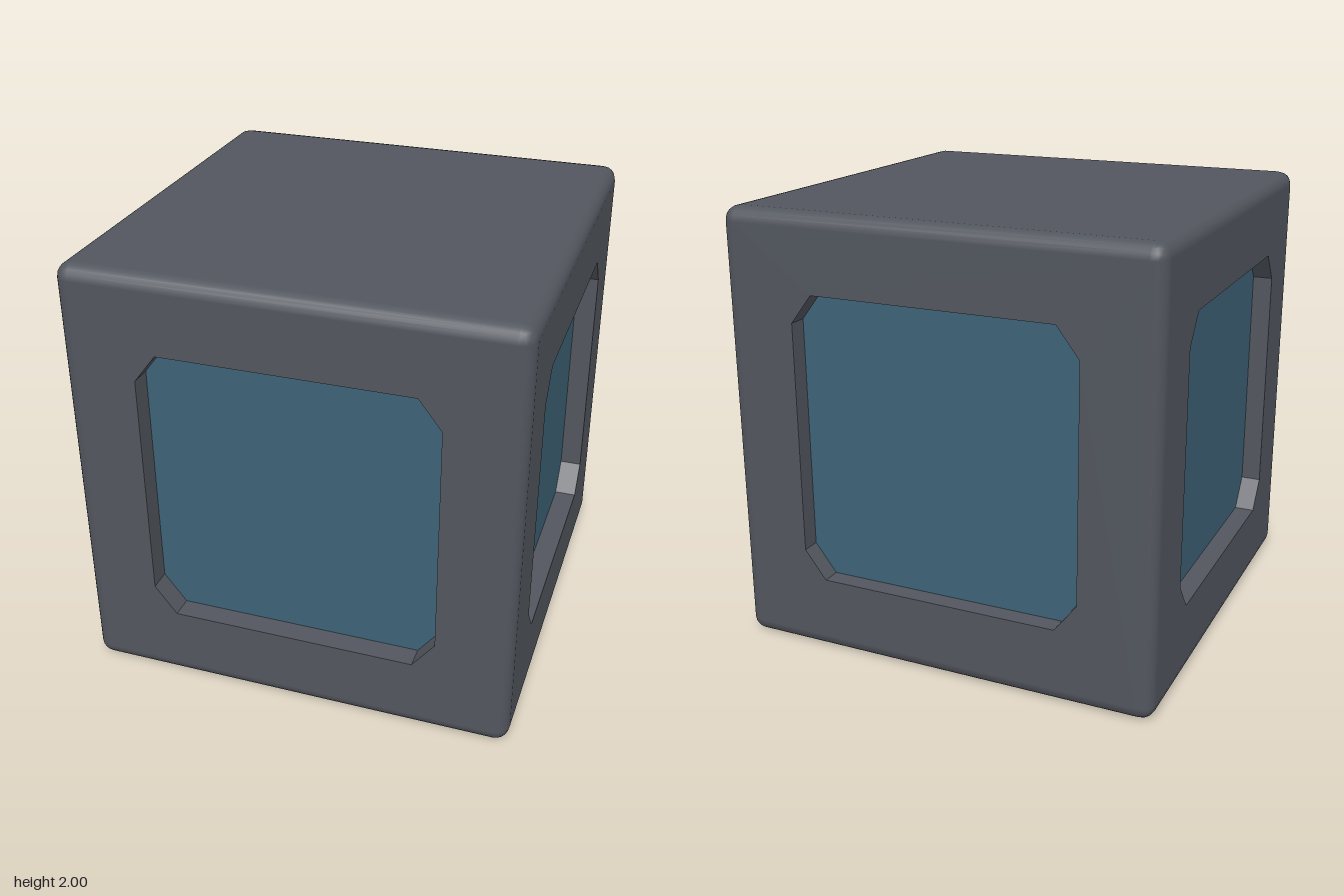
import * as THREE from 'three';
import { RoundedBoxGeometry } from 'three/addons/geometries/RoundedBoxGeometry.js';

const HALF = 0.99, HALF_Y = 1, R = 0.065;

// Octagonal window outline: a square with clipped corners
function outline(type, s, cx, cy) {
  const p = [[s, cy - s], [s, s - cy], [s - cx, s], [cx - s, s], [-s, s - cy], [-s, cy - s], [cx - s, -s], [s - cx, -s]];
  return new type(p.map(([x, y]) => new THREE.Vector2(x, y)));
}

// Rounded box keeping its soft edges and top, with the other flat faces removed
function softEdges() {
  const box = new RoundedBoxGeometry(HALF * 2, HALF_Y * 2, HALF * 2, 2, R);
  const src = box.index ? box.toNonIndexed() : box;
  const pos = src.attributes.position, nor = src.attributes.normal;
  const keptPos = [], keptNor = [];
  const tri = new THREE.Triangle(), n = new THREE.Vector3();
  for (let i = 0; i < pos.count; i += 3) {
    tri.setFromAttributeAndIndices(pos, i, i + 1, i + 2);
    tri.getNormal(n);
    if (tri.getArea() > 1 && n.y < 0.5) continue;
    for (let k = i; k < i + 3; k++) {
      keptPos.push(pos.getX(k), pos.getY(k), pos.getZ(k));
      keptNor.push(nor.getX(k), nor.getY(k), nor.getZ(k));
    }
  }
  const geo = new THREE.BufferGeometry();
  geo.setAttribute('position', new THREE.Float32BufferAttribute(keptPos, 3));
  geo.setAttribute('normal', new THREE.Float32BufferAttribute(keptNor, 3));
  return geo;
}

export function createModel() {
  const casing = new THREE.MeshStandardMaterial({ color: 0x52565e });
  casing.name = 'slateCasing';
  const blue = new THREE.MeshStandardMaterial({ color: 0x3d6276 });
  blue.name = 'bluePanel';

  const model = new THREE.Group();
  model.name = 'panelledCube';

  const body = new THREE.Mesh(softEdges(), casing);
  body.name = 'roundedEdgesAndTop';
  body.position.y = HALF_Y;
  model.add(body);

  // One cube face: a frame with a window and a recessed panel behind it
  function addFace({ name, halfHeight = HALF_Y, distance = HALF, recess, window, rotX = 0, rotY = 0 }) {
    const w = HALF - R, h = halfHeight - R;
    const shape = new THREE.Shape([[-w, -h], [w, -h], [w, h], [-w, h]].map(([x, y]) => new THREE.Vector2(x, y)));
    shape.holes.push(outline(THREE.Path, ...window));
    const face = new THREE.Group();
    face.name = name;

    const frame = new THREE.Mesh(new THREE.ExtrudeGeometry(shape, { depth: recess, bevelEnabled: false }), casing);
    frame.name = name + 'Frame';

    const panel = new THREE.Mesh(new THREE.ShapeGeometry(outline(THREE.Shape, ...window)), blue);
    panel.name = name + 'Panel';

    for (const part of [frame, panel]) part.position.z = distance - recess;
    face.add(frame, panel);
    face.rotation.set(rotX, rotY, 0);
    face.position.y = HALF_Y;
    model.add(face);
  }

  // Four sides and the underside
  [['front', 0.1], ['left', 0.1], ['back', 0.085], ['right', 0.09]].forEach(([name, recess], i) =>
    addFace({ name, recess, window: [0.655, 0.1, 0.13], rotY: i * Math.PI / 2 }));
  addFace({ name: 'bottom', halfHeight: HALF, distance: HALF_Y, recess: 0.015, window: [0.63, 0.15, 0.15], rotX: Math.PI / 2 });

  return model;
}
